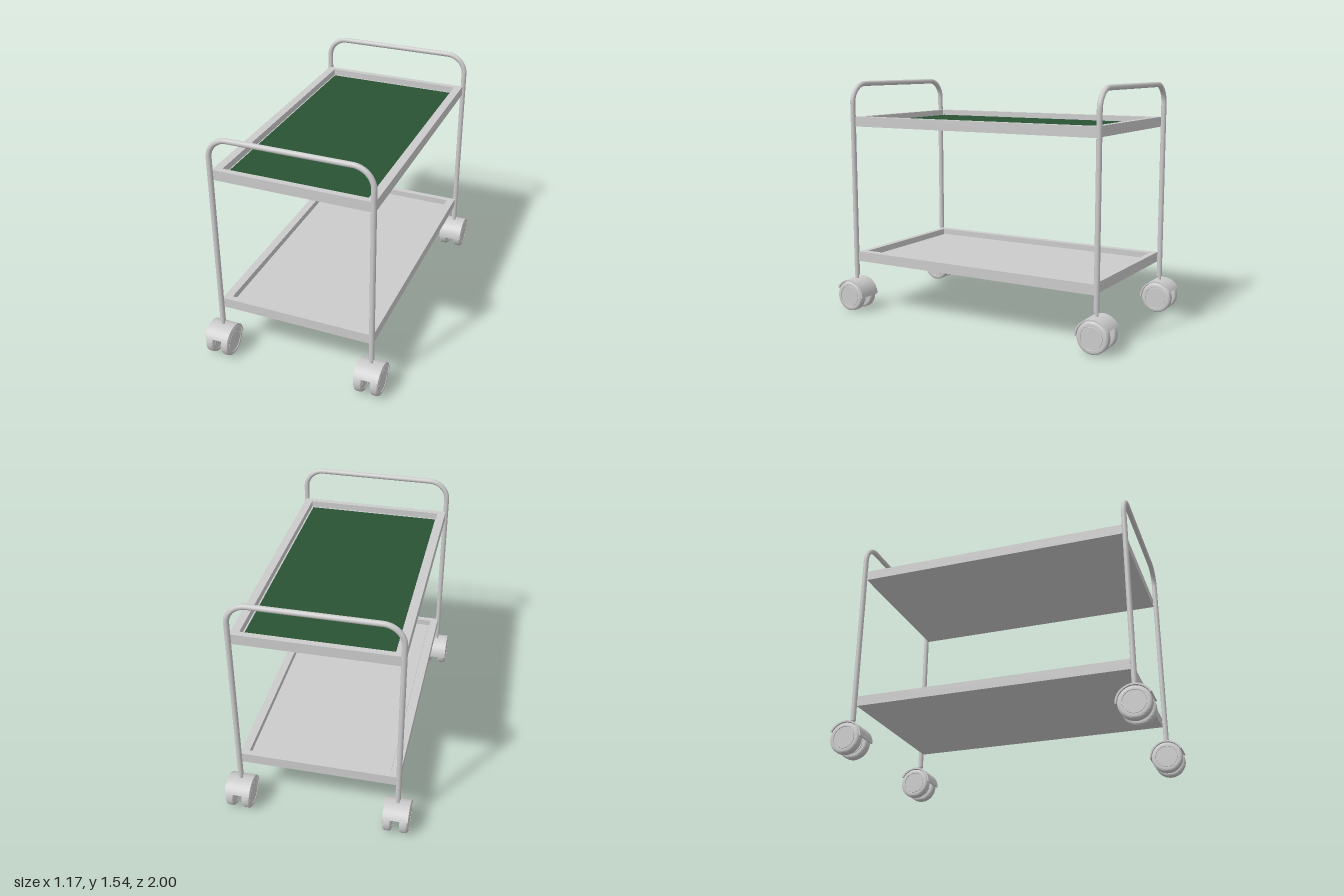
import * as THREE from 'three';
import { toCreasedNormals } from 'three/addons/utils/BufferGeometryUtils.js';

const grey = new THREE.MeshStandardMaterial({ color: 0xcccccc });
const green = new THREE.MeshStandardMaterial({ color: 0x295333 });
const POST_X = 0.505, POST_Z = 0.893, TUBE_R = 0.017;

function add(parent, name, geometry, x = 0, y = 0, z = 0, material = grey) {
  const mesh = new THREE.Mesh(geometry, material);
  mesh.name = name;
  mesh.position.set(x, y, z);
  parent.add(mesh);
  return mesh;
}

// Inverted U of bent tube: two posts joined by a handle bar
function makeHandleFrame() {
  const group = new THREE.Group();
  group.name = 'handleFrame';
  const bottom = 0.235, top = 1.525, r = 0.125, k = r * 0.4477;
  const v = (x, y) => new THREE.Vector3(x, y, 0);
  const X = POST_X;
  const path = new THREE.CurvePath();
  path.add(new THREE.LineCurve3(v(-X, bottom), v(-X, top - r)));
  path.add(new THREE.CubicBezierCurve3(v(-X, top - r), v(-X, top - k), v(-X + k, top), v(-X + r, top)));
  path.add(new THREE.LineCurve3(v(-X + r, top), v(X - r, top)));
  path.add(new THREE.CubicBezierCurve3(v(X - r, top), v(X - k, top), v(X, top - k), v(X, top - r)));
  path.add(new THREE.LineCurve3(v(X, top - r), v(X, bottom)));
  add(group, 'handleTube', new THREE.TubeGeometry(path, 180, TUBE_R, 20));
  for (const s of [-1, 1]) {
    const cap = new THREE.CircleGeometry(TUBE_R, 20).rotateX(Math.PI / 2);
    add(group, 'postEndCap', cap, s * X, bottom, 0);
  }
  return group;
}

function rectangle(target, w, d) {
  target.moveTo(-w, -d);
  target.lineTo(w, -d);
  target.lineTo(w, d);
  target.lineTo(-w, d);
  target.closePath();
  return target;
}

// Shallow tray: raised rim, floor and inset panel
function makeTray(name, y, panelMaterial) {
  const group = new THREE.Group();
  group.name = name;
  const shape = rectangle(new THREE.Shape(), 0.505, 0.875);
  shape.holes.push(rectangle(new THREE.Path(), 0.453, 0.836));
  const rim = new THREE.ExtrudeGeometry(shape, { depth: 0.065, bevelEnabled: false });
  add(group, 'trayRim', rim.rotateX(-Math.PI / 2));
  add(group, 'trayFloor', new THREE.BoxGeometry(0.908, 0.024, 1.674), 0, 0.012, 0);
  add(group, 'trayPanel', new THREE.BoxGeometry(0.88, 0.008, 1.626), 0, 0.026, 0, panelMaterial);
  group.position.y = y;
  return group;
}

// Wheel with rounded tread and a recessed ring around the hub, axis along x
function makeWheelGeometry() {
  const h = 0.0275;
  const half = [[0.1, 0.014], [0.098, 0.021], [0.092, 0.026], [0.086, h], [0.073, h],
    [0.072, 0.023], [0.068, 0.023], [0.067, h - 0.001], [0, h - 0.001]];
  const points = [
    ...half.map(([r, y]) => new THREE.Vector2(r, -y)).reverse(),
    ...half.map(([r, y]) => new THREE.Vector2(r, y)),
  ];
  const lathe = new THREE.LatheGeometry(points, 48).rotateZ(-Math.PI / 2);
  return toCreasedNormals(lathe, 0.6);
}

// Curved guard covering both wheels
function makeHoodGeometry() {
  const start = THREE.MathUtils.degToRad(27), end = Math.PI, width = 0.16;
  const shape = new THREE.Shape();
  shape.absarc(0, 0, 0.112, start, end, false);
  shape.absarc(0, 0, 0.102, end, start, true);
  shape.closePath();
  const hood = new THREE.ExtrudeGeometry(shape, { depth: width, bevelEnabled: false, curveSegments: 32 });
  hood.translate(0, 0, -width / 2).rotateY(-Math.PI / 2);
  return toCreasedNormals(hood, 0.5);
}

const wheelGeometry = makeWheelGeometry();
const hoodGeometry = makeHoodGeometry();

// Twin-wheel caster, its origin at the axle
function makeCaster() {
  const group = new THREE.Group();
  group.name = 'caster';
  for (const s of [-1, 1]) add(group, 'wheel', wheelGeometry, s * 0.0525);
  add(group, 'hood', hoodGeometry);
  add(group, 'axle', new THREE.CylinderGeometry(0.012, 0.012, 0.06, 20).rotateZ(Math.PI / 2));
  add(group, 'casterBody', new THREE.BoxGeometry(0.036, 0.108, 0.05), 0, 0.052, 0);
  add(group, 'stem', new THREE.CylinderGeometry(0.011, 0.011, 0.05, 20), 0, 0.127, -0.005);
  return group;
}

export function createModel() {
  const model = new THREE.Group();
  model.name = 'serviceTrolley';

  model.add(makeTray('upperTray', 1.245, green));
  model.add(makeTray('lowerTray', 0.333, grey));

  for (const sz of [-1, 1]) {
    const frame = makeHandleFrame();
    frame.position.z = sz * POST_Z;
    model.add(frame);
    for (const sx of [-1, 1]) {
      const caster = makeCaster();
      caster.position.set(sx * POST_X, 0.1, sz * 0.9);
      if (sz < 0) caster.rotation.y = Math.PI;
      model.add(caster);
    }
  }
  return model;
}
